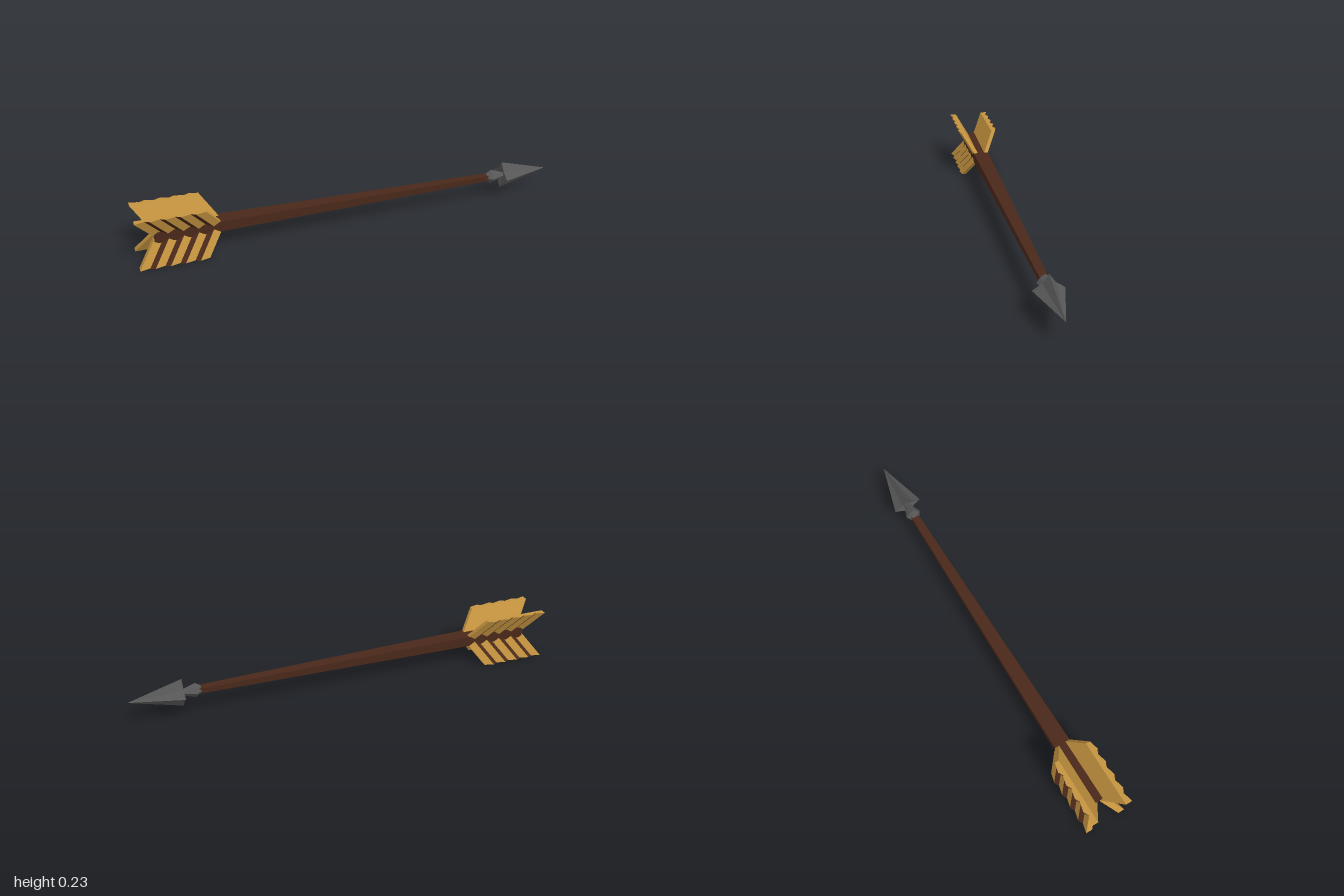
import * as THREE from 'three';

const CENTER_Y = 0.12;
const material = (color) => new THREE.MeshStandardMaterial({ color, flatShading: true });

function addMesh(parent, name, geometry, mat) {
  const mesh = new THREE.Mesh(geometry, mat);
  mesh.name = name;
  parent.add(mesh);
  return mesh;
}

// Eight-sided loft along x; each section is [x, radius on the axes, radius on the diagonals]
function loft(sections) {
  const ring = ([x, axis, diagonal]) => Array.from({ length: 8 }, (_, i) => {
    const r = i % 2 ? diagonal : axis;
    const a = (i * Math.PI) / 4;
    return [x, r * Math.cos(a), r * Math.sin(a)];
  });
  const rings = sections.map(ring);
  const p = [];
  for (let s = 0; s < rings.length - 1; s++) {
    for (let i = 0; i < 8; i++) {
      const j = (i + 1) % 8;
      const [a, b, c, d] = [rings[s][i], rings[s][j], rings[s + 1][j], rings[s + 1][i]];
      p.push(...a, ...c, ...b, ...a, ...d, ...c);
    }
  }
  const g = new THREE.BufferGeometry();
  g.setAttribute('position', new THREE.Float32BufferAttribute(p.map((v) => v), 3));
  // Rings run from +y to +z, so reverse each triangle to face outward
  const order = [];
  for (let i = 0; i < p.length / 3; i += 3) order.push(i, i + 2, i + 1);
  g.setIndex(order);
  const out = g.toNonIndexed();
  out.computeVertexNormals();
  return out;
}

// Extrudes a length/thickness outline outward, swept back and leaning away from the shaft
function sweptFin(points, height) {
  const shape = new THREE.Shape(points.map(([u, v]) => new THREE.Vector2(u, v)));
  const g = new THREE.ExtrudeGeometry(shape, { depth: height, bevelEnabled: false });
  const p = g.attributes.position;
  for (let i = 0; i < p.count; i++) {
    const u = p.getX(i), v = p.getY(i), w = p.getZ(i);
    p.setXYZ(i, -0.915 + u - w * 0.73, w, 0.003 + w * 0.577 + v);
  }
  // Swapping the last two axes mirrors the solid, so restore the winding
  for (let i = 0; i < p.count; i += 3) {
    const a = [p.getX(i), p.getY(i), p.getZ(i)];
    p.setXYZ(i, p.getX(i + 1), p.getY(i + 1), p.getZ(i + 1));
    p.setXYZ(i + 1, ...a);
  }
  g.computeVertexNormals();
  return g;
}

export function createModel() {
  const model = new THREE.Group();
  model.name = 'arrow';
  const wood = material(0x4a281a);
  const gold = material(0xc4933f);
  const steel = material(0x565656);

  const arrow = new THREE.Group();
  arrow.name = 'arrowBody';
  arrow.position.y = CENTER_Y;
  model.add(arrow);

  // Rectangular shaft, tapering toward the head
  const shaft = new THREE.BoxGeometry(1.62, 2, 2);
  shaft.translate(-0.11, 0, 0);
  const sp = shaft.attributes.position;
  for (let i = 0; i < sp.count; i++) {
    const front = sp.getX(i) > 0;
    sp.setY(i, sp.getY(i) * (front ? 0.012 : 0.027));
    sp.setZ(i, sp.getZ(i) * (front ? 0.018 : 0.042));
  }
  shaft.computeVertexNormals();
  addMesh(arrow, 'shaft', shaft, wood);

  // Socket and four-ridged point
  addMesh(arrow, 'headSocket', loft([
    [0.68, 0, 0], [0.68, 0.02, 0.018], [0.705, 0.036, 0.029], [0.77, 0.012, 0.011],
  ]), steel);
  addMesh(arrow, 'headPoint', loft([
    [0.775, 0, 0], [0.76, 0.068, 0.039], [1, 0, 0],
  ]), steel);

  // Vane outline: flat inside, five overlapping slats outside
  const slats = 5, pitch = 0.065, slatWidth = 0.044, thick = 0.02, step = 0.011;
  const outline = [[0, 0], [slats * pitch - 0.02, 0]];
  for (let i = slats - 1; i >= 0; i--) {
    outline.push([i * pitch + slatWidth, thick], [i * pitch, thick + step]);
  }
  const vane = sweptFin(outline, 0.116);

  // Dark strips on the steps between slats
  const strips = [];
  for (let i = 0; i < slats - 1; i++) {
    const a = i * pitch + slatWidth, b = (i + 1) * pitch;
    strips.push(sweptFin([
      [a, thick - 0.002], [b, thick + step - 0.002],
      [b, thick + step + 0.001], [a, thick + 0.001],
    ], 0.1162));
  }

  // Four vanes, mirrored up/down and left/right
  for (const sy of [1, -1]) {
    for (const sz of [1, -1]) {
      const fin = new THREE.Group();
      fin.name = `${sy > 0 ? 'upper' : 'lower'}${sz > 0 ? 'Front' : 'Back'}Vane`;
      fin.scale.set(1, sy, sz);
      addMesh(fin, 'feather', vane, gold);
      strips.forEach((g) => addMesh(fin, 'featherGroove', g, wood));
      arrow.add(fin);
    }
  }
  return model;
}
